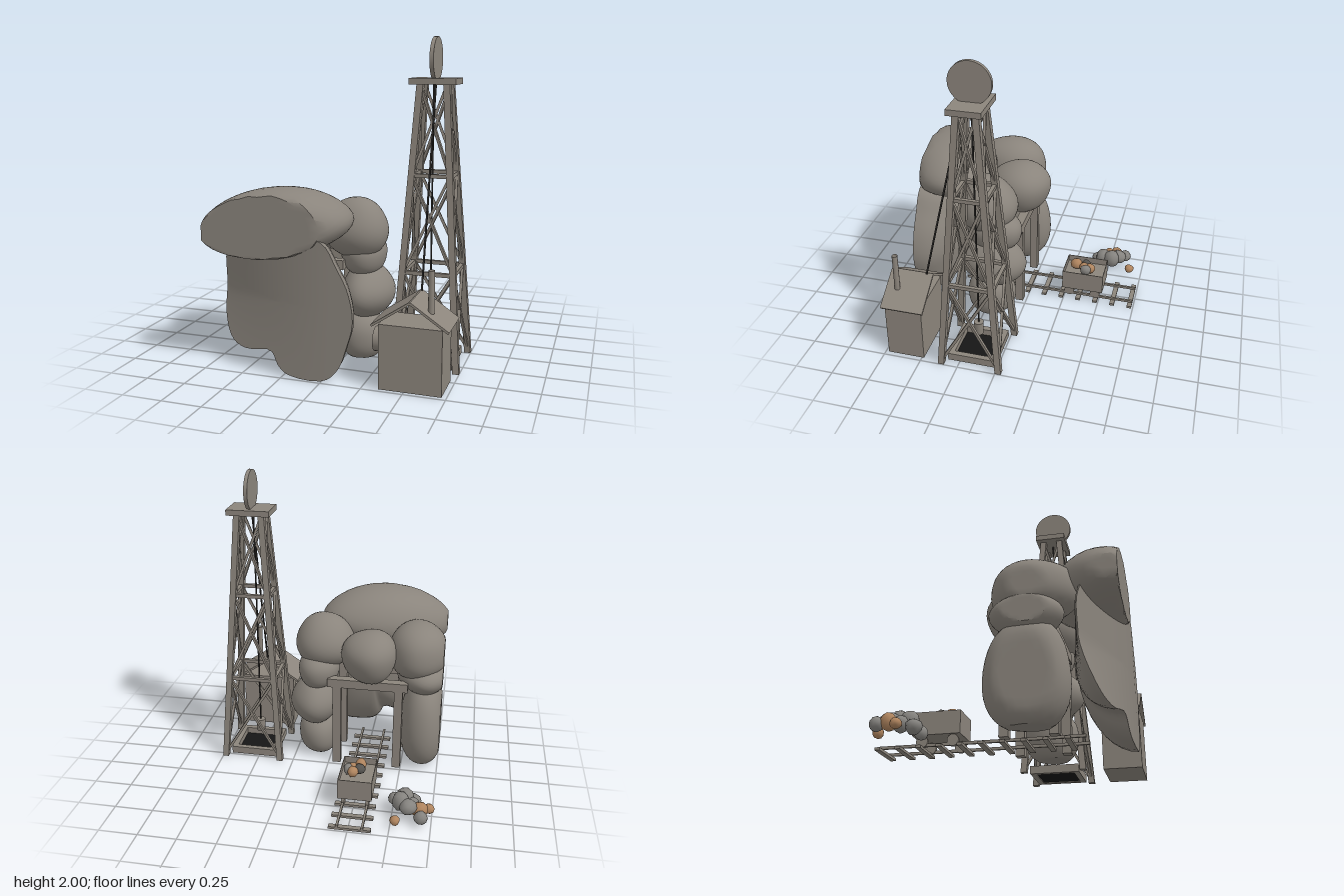
import * as THREE from 'three';
import { mergeVertices, toCreasedNormals } from 'three/addons/utils/BufferGeometryUtils.js';

const mat = (name, color, side = THREE.FrontSide) => {
  const m = new THREE.MeshStandardMaterial({ color, side });
  m.name = name;
  return m;
};
const V = (x, y, z) => new THREE.Vector3(x, y, z);

export function createModel() {
  const model = new THREE.Group();
  model.name = 'mine';
  const stone = mat('stone grey', 0x8a847c);
  const timber = mat('weathered timber', 0x8c857c, THREE.DoubleSide);
  const rope = mat('rope black', 0x2c2a28);
  const shaftDark = mat('shaft black', 0x161616, THREE.DoubleSide);
  const copper = mat('copper ore', 0xb0855f);
  const greyOre = mat('grey ore', 0x868480);
  const darkOre = mat('dark ore', 0x55534f);

  const group = (name) => {
    const g = new THREE.Group();
    g.name = name;
    model.add(g);
    return g;
  };
  const add = (parent, name, geo, material, x = 0, y = 0, z = 0) => {
    const m = new THREE.Mesh(geo, material);
    m.name = name;
    m.position.set(x, y, z);
    parent.add(m);
    return m;
  };
  // box given by its lower and upper corners
  const box = (parent, name, x0, x1, y0, y1, z0, z1) =>
    add(parent, name, new THREE.BoxGeometry(x1 - x0, y1 - y0, z1 - z0), timber,
      (x0 + x1) / 2, (y0 + y1) / 2, (z0 + z1) / 2);
  // square beam between two points
  const beam = (parent, name, a, b, w, material = timber) => {
    const mid = a.clone().add(b).multiplyScalar(0.5);
    const m = add(parent, name, new THREE.BoxGeometry(w, w, a.distanceTo(b)), material, mid.x, mid.y, mid.z);
    m.lookAt(b);
    return m;
  };

  // Boulders: lumpy ellipsoids, cut flat at the plot edges
  const lump = (radii, detail, seed, amount) => {
    let g = new THREE.IcosahedronGeometry(1, detail);
    g.deleteAttribute('uv');
    g.deleteAttribute('normal');
    g = mergeVertices(g, 1e-4);
    const p = g.attributes.position, v = V(0, 0, 0);
    for (let i = 0; i < p.count; i++) {
      v.fromBufferAttribute(p, i);
      const n = Math.sin(v.x * 3.1 + seed * 1.7) + Math.sin(v.y * 3.7 + seed * 2.9) + Math.sin(v.z * 3.4 + seed * 4.3);
      v.multiplyScalar(1 + amount * n).multiply(radii);
      p.setXYZ(i, v.x, v.y, v.z);
    }
    return g;
  };
  const rocks = group('rockMound');
  const boulder = (name, c, r, seed, rotY = 0, rotZ = 0) => {
    const g = lump(V(...r), 6, seed, 0.035);
    g.rotateZ(rotZ).rotateY(rotY).translate(...c);
    const p = g.attributes.position;
    for (let i = 0; i < p.count; i++) {
      p.setXYZ(i, Math.max(p.getX(i), -0.755), Math.max(p.getY(i), 0), Math.min(p.getZ(i), 0.74));
    }
    add(rocks, name, toCreasedNormals(g, 0.6), stone);
  };
  boulder('capBoulder', [-0.33, 0.905, 0.61], [0.5, 0.21, 0.29], 1, 0.4, 0.1);
  boulder('portalTopBoulder', [-0.26, 0.8, 0.1], [0.18, 0.175, 0.22], 2);
  boulder('upperLeftBoulder', [0.06, 0.83, 0.23], [0.19, 0.2, 0.2], 3);
  boulder('shoulderLeftBoulder', [0.09, 0.65, 0.18], [0.15, 0.13, 0.18], 4);
  boulder('middleLeftBoulder', [0.12, 0.42, 0.19], [0.165, 0.18, 0.22], 5);
  boulder('lowerLeftBoulder', [0.1, 0.14, 0.21], [0.14, 0.16, 0.18], 6);
  boulder('upperRightBoulder', [-0.58, 0.81, 0.25], [0.21, 0.18, 0.26], 8);
  boulder('shoulderRightBoulder', [-0.62, 0.64, 0.21], [0.17, 0.13, 0.21], 9);
  boulder('lowerRightBoulder', [-0.63, 0.29, 0.21], [0.16, 0.34, 0.25], 10);

  // Front boulder: broad face curving back towards its right, domed behind
  const outline = [[0.2, 0.38], [0.17, 0.56], [0.1, 0.7], [0.02, 0.83], [-0.15, 0.87], [-0.4, 0.85], [-0.64, 0.83],
    [-0.71, 0.7], [-0.71, 0.5], [-0.7, 0.3], [-0.63, 0.16], [-0.52, 0.12], [-0.33, 0.14], [-0.28, 0.06],
    [-0.22, 0.015], [0.02, 0.01], [0.11, 0.09], [0.16, 0.22]];
  const curve = new THREE.CatmullRomCurve3(outline.map(([x, y]) => V(x, y, 0)), true);
  const N = 64, K = 10, loop = curve.getPoints(N).slice(0, N);
  const pos = [], idx = [];
  for (let k = -K; k <= K; k++) {
    const t = (k / K) * Math.PI / 2;
    const s = k < 0 ? 1 + k / K : Math.cos(t);
    for (const q of loop) {
      const x = -0.25 + (q.x + 0.25) * s, y = 0.45 + (q.y - 0.45) * s;
      const front = 0.738 - 0.4 * Math.max(0, 0.05 - x) ** 2 * (0.5 + 0.5 * Math.min(1, y / 0.45));
      pos.push(x, y, k < 0 ? front : THREE.MathUtils.lerp(front, 0.43, Math.sin(t)));
    }
  }
  for (let k = 0; k < 2 * K; k++) for (let i = 0; i < N; i++) {
    const j = (i + 1) % N, a = k * N + i, b = k * N + j;
    idx.push(a, a + N, b, b, a + N, b + N);
  }
  const dome = new THREE.BufferGeometry();
  dome.setAttribute('position', new THREE.Float32BufferAttribute(pos, 3));
  dome.setIndex(idx);
  add(rocks, 'frontBoulder', toCreasedNormals(dome, 0.7), stone);

  // Timber frames of the tunnel
  const portal = group('tunnelPortal');
  for (const z of [0.02, 0.3]) {
    box(portal, 'lintel', -0.53, 0.01, 0.58, 0.64, z, z + 0.06);
    for (const x of [-0.47, -0.055]) box(portal, 'post', x - 0.028, x + 0.028, 0, 0.58, z, z + 0.055);
  }

  // Track
  const track = group('track');
  for (const x of [-0.34, -0.183]) box(track, 'rail', x - 0.007, x + 0.007, 0.015, 0.032, -0.74, 0.48);
  for (let i = 0; i < 10; i++) {
    const z = -0.724 + i * 0.123;
    box(track, 'sleeper', -0.394, -0.13, 0, 0.016, z - 0.016, z + 0.016);
  }

  // Cart, thin-walled and open at the top
  const cart = group('mineCart');
  box(cart, 'cartFloor', -0.37, -0.152, 0.078, 0.17, -0.525, -0.237);
  for (const x of [-0.37, -0.156]) box(cart, 'cartSide', x, x + 0.004, 0.17, 0.215, -0.525, -0.237);
  for (const z of [-0.525, -0.241]) box(cart, 'cartEnd', -0.366, -0.156, 0.17, 0.215, z, z + 0.004);
  for (const x of [-0.34, -0.183]) for (const z of [-0.285, -0.47]) {
    add(cart, 'cartWheel', new THREE.CylinderGeometry(0.035, 0.035, 0.022, 16), timber, x, 0.045, z).rotation.z = Math.PI / 2;
  }

  // Ore: x, y, z, radius, material
  const ore = group('ore');
  [[-0.235, 0.215, -0.42, 0.036, copper], [-0.272, 0.215, -0.315, 0.04, copper], [-0.228, 0.22, -0.375, 0.034, copper],
    [-0.273, 0.22, -0.385, 0.036, darkOre], [-0.205, 0.218, -0.392, 0.036, greyOre],
    [-0.685, 0.06, -0.61, 0.044, greyOre], [-0.675, 0.07, -0.55, 0.05, copper], [-0.605, 0.1, -0.57, 0.055, greyOre],
    [-0.555, 0.11, -0.525, 0.058, greyOre], [-0.62, 0.07, -0.5, 0.05, greyOre], [-0.575, 0.1, -0.465, 0.058, greyOre],
    [-0.63, 0.05, -0.42, 0.048, greyOre], [-0.505, 0.05, -0.42, 0.04, greyOre],
    [-0.53, 0.055, -0.665, 0.032, copper], [-0.73, 0.045, -0.485, 0.034, copper],
  ].forEach(([x, y, z, r, m], i) => {
    const g = lump(V(r, r, r), 1, i, 0.05);
    g.computeVertexNormals();
    add(ore, 'oreLump', g, m, x, y, z);
  });

  // Headframe tower: tapering legs, ring beams and crossed braces
  const tower = group('headframe');
  const cx = 0.535, cz = 0.17, top = 1.73;
  const corner = (i, y) => {
    const t = y / top, sx = [1, 1, -1, -1][i % 4], sz = [1, -1, -1, 1][i % 4];
    return V(cx + sx * (0.195 - 0.115 * t), y, cz + sz * (0.19 - 0.133 * t));
  };
  const levels = [0.02, 0.59, 1.18, 1.72];
  for (let i = 0; i < 4; i++) {
    // each leg is a box sheared along its corner line
    const leg = new THREE.BoxGeometry(0.04, top, 0.04).translate(0, top / 2, 0);
    const p = leg.attributes.position;
    for (let j = 0; j < p.count; j++) {
      const c = corner(i, p.getY(j));
      p.setXYZ(j, p.getX(j) + c.x, c.y, p.getZ(j) + c.z);
    }
    leg.computeVertexNormals();
    add(tower, 'leg', leg, timber);
    for (const y of [0.59, 1.18]) beam(tower, 'ringBeam', corner(i, y), corner(i + 1, y), 0.024);
    for (let k = 0; k < 3; k++) {
      beam(tower, 'brace', corner(i, levels[k]), corner(i + 1, levels[k + 1]), 0.017);
      beam(tower, 'brace', corner(i + 1, levels[k]), corner(i, levels[k + 1]), 0.017);
    }
  }
  box(tower, 'topPlatform', 0.393, 0.677, 1.72, 1.757, 0.065, 0.272);
  add(tower, 'sheaveWheel', new THREE.CylinderGeometry(0.13, 0.13, 0.024, 32), timber, cx, 1.87, cz).rotation.z = Math.PI / 2;

  // Shaft collar, hoist ropes and bucket
  for (const s of [-1, 1]) {
    box(tower, 'shaftCollar', cx - 0.16, cx + 0.16, 0, 0.05, cz + s * 0.14 - 0.018, cz + s * 0.14 + 0.018);
    box(tower, 'shaftCollar', cx + s * 0.142 - 0.018, cx + s * 0.142 + 0.018, 0, 0.05, cz - 0.122, cz + 0.122);
  }
  add(tower, 'shaftOpening', new THREE.PlaneGeometry(0.26, 0.25), shaftDark, cx, 0.006, cz).rotation.x = -Math.PI / 2;
  beam(tower, 'bucketRope', V(0.522, 0.2, cz), V(0.522, 1.72, cz), 0.009, rope);
  beam(tower, 'winchRope', V(0.546, 0.54, 0.5), V(0.546, 1.74, 0.215), 0.01, rope);
  add(tower, 'bucket', new THREE.CylinderGeometry(0.032, 0.028, 0.09, 14), timber, 0.522, 0.162, cz);

  // Winch house with an open gable roof
  const house = group('winchHouse');
  box(house, 'houseBody', 0.35, 0.722, 0, 0.39, 0.485, 0.728);
  for (const s of [-1, 1]) {
    const slab = add(house, 'roofSlab', new THREE.BoxGeometry(0.272, 0.014, 0.28), timber, cx + s * 0.112, 0.457, 0.6);
    slab.rotation.z = -s * 0.593;
  }
  add(house, 'chimney', new THREE.CylinderGeometry(0.018, 0.018, 0.25, 14, 1, true), timber, 0.642, 0.588, 0.665);
  add(house, 'winchDrum', new THREE.CylinderGeometry(0.073, 0.073, 0.06, 20), timber, 0.325, 0.255, 0.595).rotation.z = Math.PI / 2;
  return model;
}
